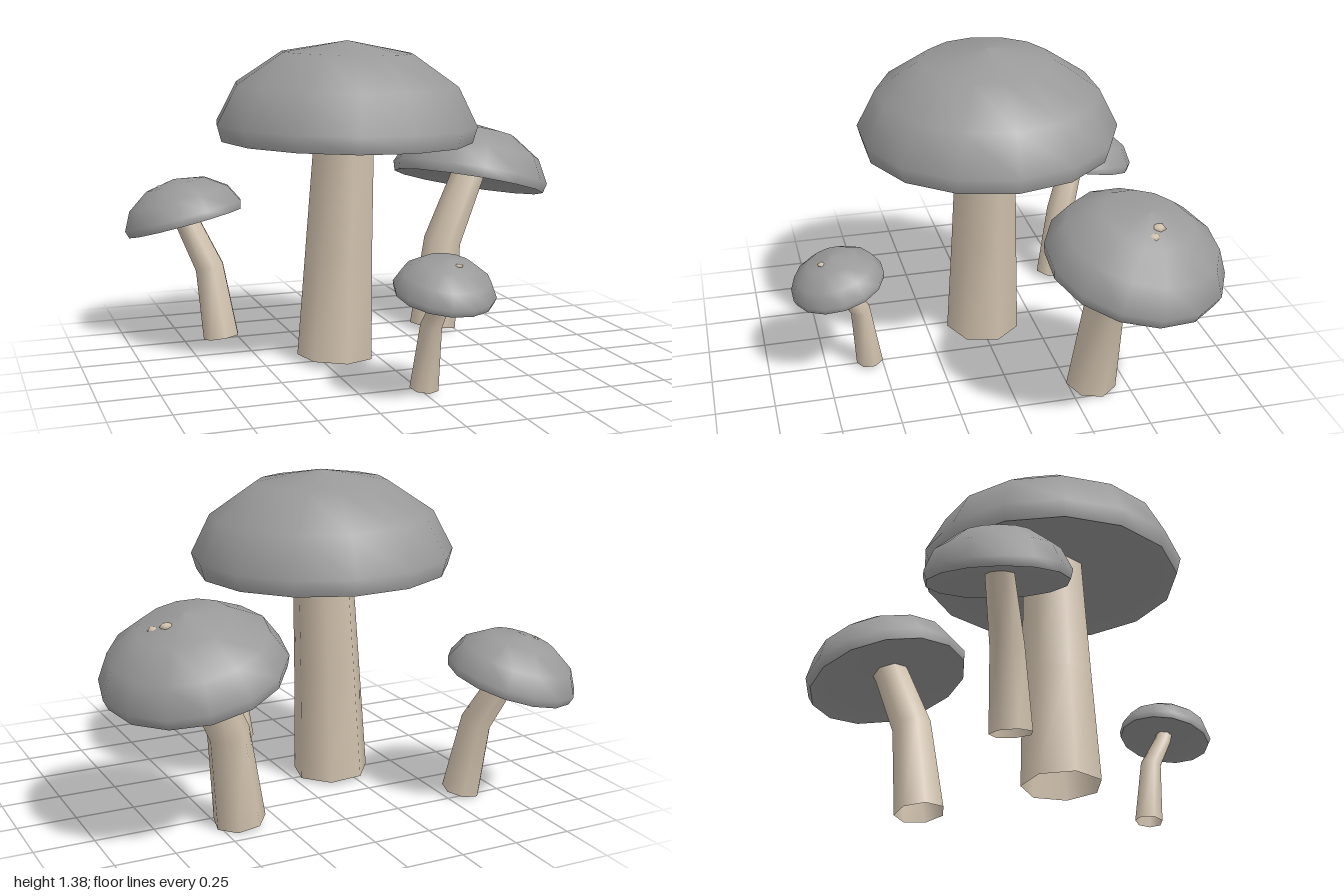
import * as THREE from 'three';

const UP = new THREE.Vector3(0, 1, 0);
const CAP_SIDES = 14;
const STEM_SIDES = 7;

// Cap profile for a cap of radius 1, measured from the rim plane
const CAP_TOP = [[0.965, 0], [1, 0.125], [0.85, 0.42], [0.5, 0.66], [0, 0.75]];
const CAP_UNDER = [[0, 0.13], [0.45, 0.11], [0.8, 0.07], [0.965, 0]];

// at: rim centre, tilt: cap axis, stem: [x, y, z, radius], tips: stem ends showing through the cap
const MUSHROOMS = [
  {
    name: 'largeMushroom', at: [-0.13, 0.968, -0.018], radius: 0.562, tilt: [0.02, 1, 0],
    stem: [[-0.185, 0.025, -0.006, 0.167], [-0.162, 0.5, -0.01, 0.148], [-0.137, 0.97, -0.012, 0.132], [-0.132, 1.12, -0.012, 0.125]],
    tips: [],
  },
  {
    name: 'leftMushroom', at: [0.625, 0.686, -0.428], radius: 0.372, tilt: [0.22, 0.95, -0.15],
    stem: [[0.412, 0.022, -0.345, 0.11], [0.468, 0.42, -0.37, 0.089], [0.61, 0.71, -0.415, 0.079], [0.66, 0.8, -0.44, 0.075]],
    tips: [[0.755, 0.918, -0.478, 0.03], [0.792, 0.9, -0.445, 0.03]],
  },
  {
    name: 'rightMushroom', at: [-0.713, 0.54, -0.604], radius: 0.277, tilt: [-0.21, 0.96, -0.16],
    stem: [[-0.585, 0.023, -0.468, 0.083], [-0.624, 0.345, -0.51, 0.067], [-0.712, 0.56, -0.592, 0.057], [-0.74, 0.62, -0.615, 0.053]],
    tips: [[-0.823, 0.708, -0.617, 0.02]],
  },
  {
    name: 'smallMushroom', at: [0.038, 0.43, 0.678], radius: 0.205, tilt: [0.06, 0.97, 0.22],
    stem: [[0.008, 0.021, 0.555, 0.06], [0.024, 0.29, 0.588, 0.045], [0.04, 0.42, 0.668, 0.037], [0.043, 0.48, 0.69, 0.035]],
    tips: [[0.07, 0.558, 0.75, 0.018]],
  },
];

function lathe(profile, radius) {
  const points = profile.map(([r, h]) => new THREE.Vector2(r * radius, h * radius));
  return new THREE.LatheGeometry(points, CAP_SIDES, Math.PI / CAP_SIDES);
}

// Tapered, bent, open tube: one ring per path point, square to the path
function stemGeometry(path) {
  const centres = path.map(([x, y, z]) => new THREE.Vector3(x, y, z));
  const last = path.length - 1;
  const positions = [];
  const index = [];
  path.forEach(([, , , radius], i) => {
    const along = centres[Math.min(i + 1, last)].clone().sub(centres[Math.max(i - 1, 0)]).normalize();
    const turn = new THREE.Quaternion().setFromUnitVectors(UP, along);
    for (let s = 0; s < STEM_SIDES; s++) {
      const a = (s / STEM_SIDES) * Math.PI * 2;
      const p = new THREE.Vector3(Math.sin(a) * radius, 0, Math.cos(a) * radius);
      positions.push(...p.applyQuaternion(turn).add(centres[i]).toArray());
      if (i < last) {
        const b = i * STEM_SIDES + s;
        const c = i * STEM_SIDES + ((s + 1) % STEM_SIDES);
        index.push(b, c, c + STEM_SIDES, b, c + STEM_SIDES, b + STEM_SIDES);
      }
    }
  });
  const geometry = new THREE.BufferGeometry();
  geometry.setAttribute('position', new THREE.Float32BufferAttribute(positions, 3));
  geometry.setIndex(index);
  geometry.computeVertexNormals();
  return geometry;
}

export function createModel() {
  const capGrey = new THREE.MeshStandardMaterial({ color: 0x999999 });
  capGrey.name = 'capGrey';
  const stemTan = new THREE.MeshStandardMaterial({ color: 0xcfc0ac, side: THREE.DoubleSide });
  stemTan.name = 'stemTan';

  const model = new THREE.Group();
  model.name = 'mushroomCluster';

  const addMesh = (parent, name, geometry, material) => {
    const mesh = new THREE.Mesh(geometry, material);
    mesh.name = name;
    parent.add(mesh);
    return mesh;
  };

  for (const { name, at, radius, tilt, stem, tips } of MUSHROOMS) {
    const mushroom = new THREE.Group();
    mushroom.name = name;
    model.add(mushroom);

    // Domed cap with a hollowed underside
    const cap = new THREE.Group();
    cap.name = 'cap';
    cap.position.set(...at);
    cap.quaternion.setFromUnitVectors(UP, new THREE.Vector3(...tilt).normalize());
    addMesh(cap, 'capTop', lathe(CAP_TOP, radius), capGrey);
    addMesh(cap, 'capUnderside', lathe(CAP_UNDER, radius), capGrey);
    mushroom.add(cap);

    addMesh(mushroom, 'stem', stemGeometry(stem), stemTan);

    // Small bumps where the stem breaks through the cap
    for (const [x, y, z, size] of tips) {
      const tip = addMesh(mushroom, 'stemTip', new THREE.SphereGeometry(size, 6, 4), stemTan);
      tip.position.set(x, y, z);
      tip.scale.y = 0.5;
    }
  }
  return model;
}
